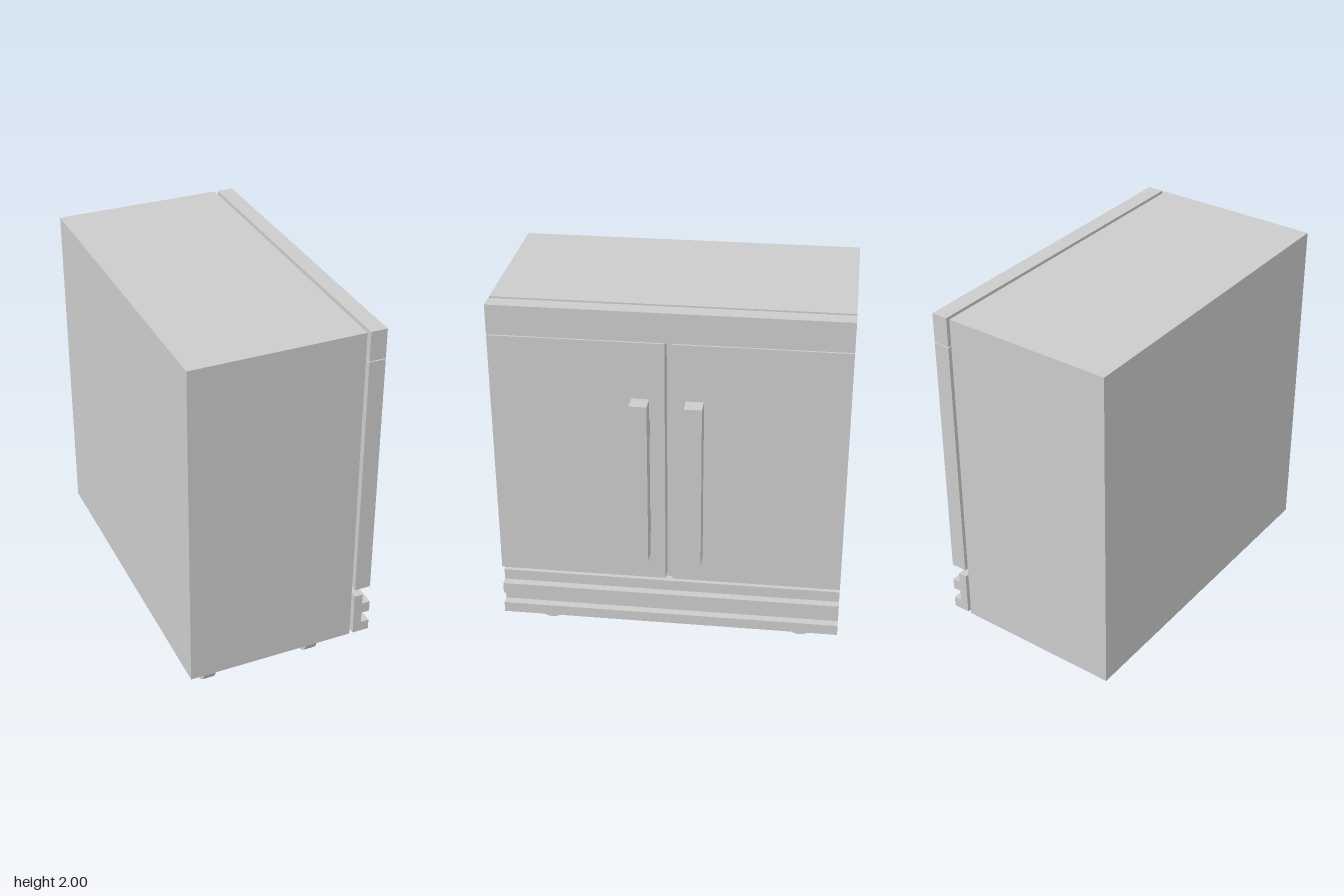
import * as THREE from 'three';

const material = new THREE.MeshStandardMaterial({ color: 0xcccccc });

// Box given by its extents along x, y and z
function box(name, [x0, x1], [y0, y1], [z0, z1]) {
  const mesh = new THREE.Mesh(new THREE.BoxGeometry(x1 - x0, y1 - y0, z1 - z0), material);
  mesh.name = name;
  mesh.position.set((x0 + x1) / 2, (y0 + y1) / 2, (z0 + z1) / 2);
  return mesh;
}

// Caster: a wheel rolling along z, with a block-shaped mount through it
function caster(x, z) {
  const group = new THREE.Group();
  group.name = 'caster';
  const wheel = new THREE.Mesh(new THREE.CylinderGeometry(0.09, 0.09, 0.065, 48), material);
  wheel.name = 'wheel';
  wheel.rotation.z = Math.PI / 2;
  wheel.position.y = 0.09;
  group.add(wheel, box('casterMount', [-0.045, 0.045], [0.073, 0.187], [-0.045, 0.045]));
  group.position.set(x, 0, z);
  return group;
}

// Door with its bar handle; side is +1 or -1 along z
function door(side) {
  const group = new THREE.Group();
  group.name = side > 0 ? 'frontDoor' : 'backDoor';
  const span = (a, b) => (side > 0 ? [a, b] : [-b, -a]);
  const handleZ = span(0.092, 0.182);
  group.add(
    box('doorPanel', [0.358, 0.445], [0.473, 1.837], span(0.018, 0.907)),
    box('handleBar', [0.475, 0.565], [0.642, 1.547], handleZ),
    box('upperHandleBracket', [0.365, 0.48], [1.323, 1.435], span(0.094, 0.18)),
    box('lowerHandleBracket', [0.354, 0.48], [0.758, 0.865], span(0.094, 0.18)),
  );
  return group;
}

export function createModel() {
  const model = new THREE.Group();
  model.name = 'cabinet';
  const depth = [-0.907, 0.907];

  // Cabinet body and the fascia above the doors
  model.add(box('body', [-0.57, 0.338], [0.187, 2], depth));
  model.add(box('topFascia', [0.358, 0.445], [1.842, 2], depth));

  // Pair of doors
  for (const side of [1, -1]) model.add(door(side));

  // Slatted grille under the doors
  const grille = new THREE.Group();
  grille.name = 'grille';
  grille.add(box('grillePlate', [0.358, 0.405], [0.187, 0.43], depth));
  for (const [y0, y1] of [[0.187, 0.245], [0.308, 0.37]]) {
    grille.add(box('grilleSlat', [0.4, 0.45], [y0, y1], depth));
  }
  model.add(grille);

  // Four casters
  for (const x of [-0.416, 0.175]) {
    for (const z of [-0.7, 0.7]) model.add(caster(x, z));
  }
  return model;
}
